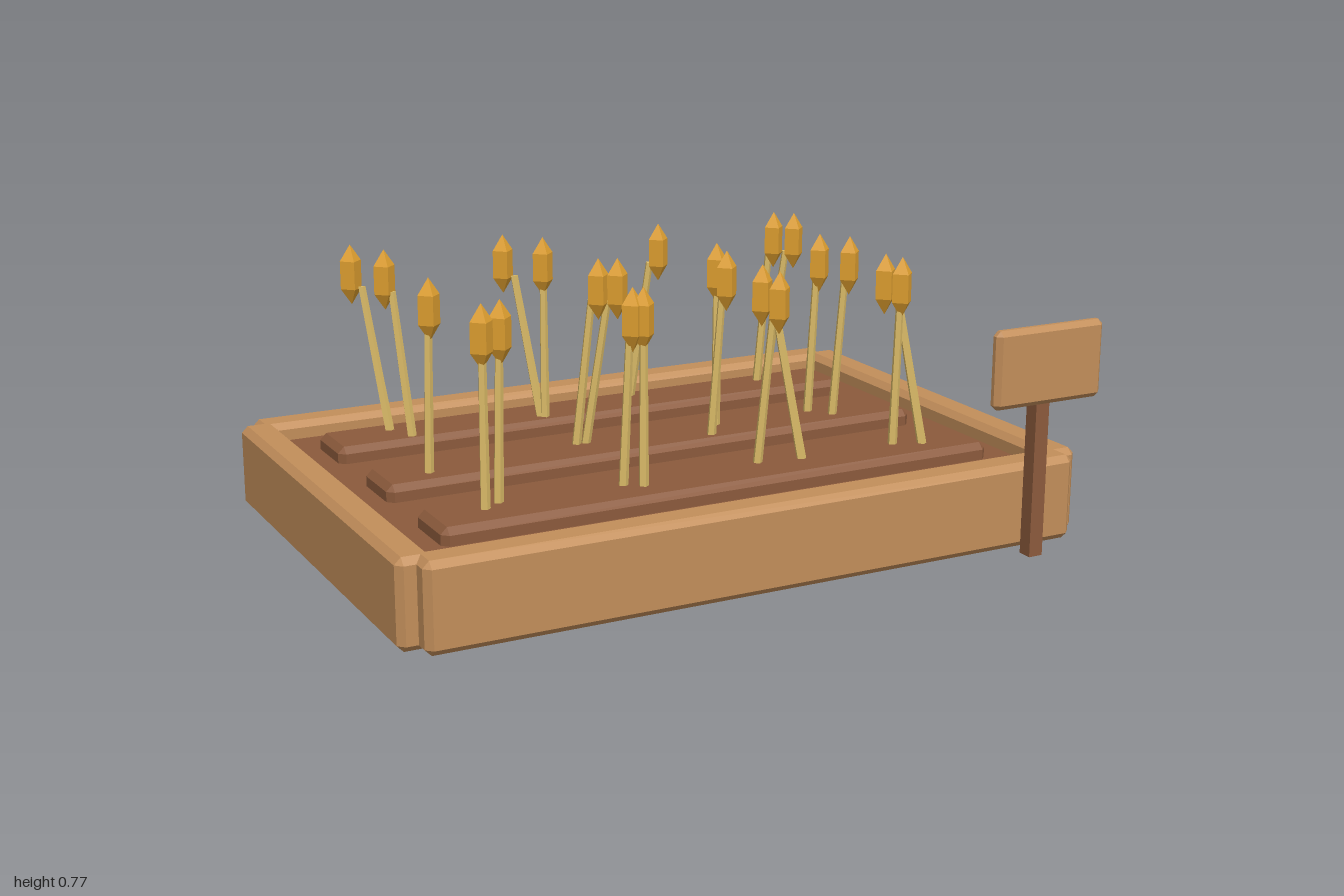
import * as THREE from 'three';
import { ConvexGeometry } from 'three/addons/geometries/ConvexGeometry.js';

const mat = (name, color) => {
  const m = new THREE.MeshStandardMaterial({ color, flatShading: true });
  m.name = name;
  return m;
};

// Box with every edge chamfered by c
function chamferBox(w, h, d, c) {
  const points = [];
  for (const sx of [-1, 1]) for (const sy of [-1, 1]) for (const sz of [-1, 1]) {
    for (let axis = 0; axis < 3; axis++) {
      const half = [w / 2 - c, h / 2 - c, d / 2 - c];
      half[axis] += c;
      points.push(new THREE.Vector3(sx * half[0], sy * half[1], sz * half[2]));
    }
  }
  return new ConvexGeometry(points);
}

export function createModel() {
  const model = new THREE.Group();
  model.name = 'gardenBed';
  const wood = mat('light wood', 0xc28e5a);
  const brown = mat('dark brown', 0x8b5a3c);
  const straw = mat('straw', 0xdcbc68);
  const grain = mat('grain', 0xe0a030);

  const add = (name, geometry, material, x, y, z) => {
    const mesh = new THREE.Mesh(geometry, material);
    mesh.name = name;
    mesh.position.set(x, y, z);
    model.add(mesh);
    return mesh;
  };

  // Frame planks, centred slightly behind the origin
  const bedZ = -0.05;
  const longPlank = chamferBox(1.9, 0.24, 0.1, 0.018);
  const sidePlank = chamferBox(0.1, 0.24, 1.285, 0.018);
  for (const s of [-1, 1]) {
    add(s > 0 ? 'frontPlank' : 'backPlank', longPlank, wood, 0, 0.12, bedZ + s * 0.647);
    add(s > 0 ? 'leftPlank' : 'rightPlank', sidePlank, wood, s * 0.95, 0.12, bedZ);
  }

  // Soil bed and three raised rows
  add('soilBed', new THREE.BoxGeometry(1.84, 0.17, 1.23), brown, 0, 0.105, bedZ);
  const ridge = chamferBox(1.636, 0.08, 0.19, 0.018);
  for (const z of [-0.44, -0.053, 0.333]) add('soilRidge', ridge, brown, 0, 0.196, z);

  // Sign
  add('signPost', new THREE.BoxGeometry(0.042, 0.605, 0.042), brown, 0.773, 0.3025, 0.7);
  add('signBoard', chamferBox(0.344, 0.213, 0.04, 0.014), wood, 0.774, 0.538, 0.727);

  // Crop: head x, head z, lean (diagonal offset from foot to head)
  const crop = [
    [-0.70, -0.54, -0.075], [-0.64, -0.43, -0.05], [-0.26, -0.48, -0.08], [-0.174, -0.39, 0],
    [0.217, -0.425, 0.065], [0.62, -0.435, 0.035], [0.666, -0.393, 0.06],
    [-0.665, -0.024, 0.01], [-0.163, -0.045, 0.05], [-0.115, -0.024, 0.07],
    [0.23, -0.088, 0], [0.2, 0.024, 0.03], [0.56, -0.07, 0.02], [0.618, 0, 0.03],
    [-0.66, 0.32, 0], [-0.6, 0.297, 0.01], [-0.243, 0.324, 0.02], [-0.217, 0.334, 0],
    [0.195, 0.23, -0.085], [0.19, 0.33, 0.04], [0.57, 0.26, -0.085], [0.585, 0.32, 0.01],
  ];
  const headShape = new THREE.LatheGeometry(
    [[0, -0.086], [0.031, -0.04], [0.031, 0.04], [0, 0.086]].map(p => new THREE.Vector2(...p)), 4);
  const up = new THREE.Vector3(0, 1, 0);
  for (const [x, z, lean] of crop) {
    const foot = new THREE.Vector3(x - lean, 0.215, z - lean);
    const top = new THREE.Vector3(x - lean * 0.3, 0.65, z - lean * 0.3);
    const span = top.clone().sub(foot);
    const mid = foot.clone().add(top).multiplyScalar(0.5);
    const stalk = add('stalk', new THREE.CylinderGeometry(0.011, 0.014, span.length(), 5), straw, mid.x, mid.y, mid.z);
    stalk.quaternion.setFromUnitVectors(up, span.normalize());
    add('grainHead', headShape, grain, x, 0.683, z);
  }
  return model;
}
